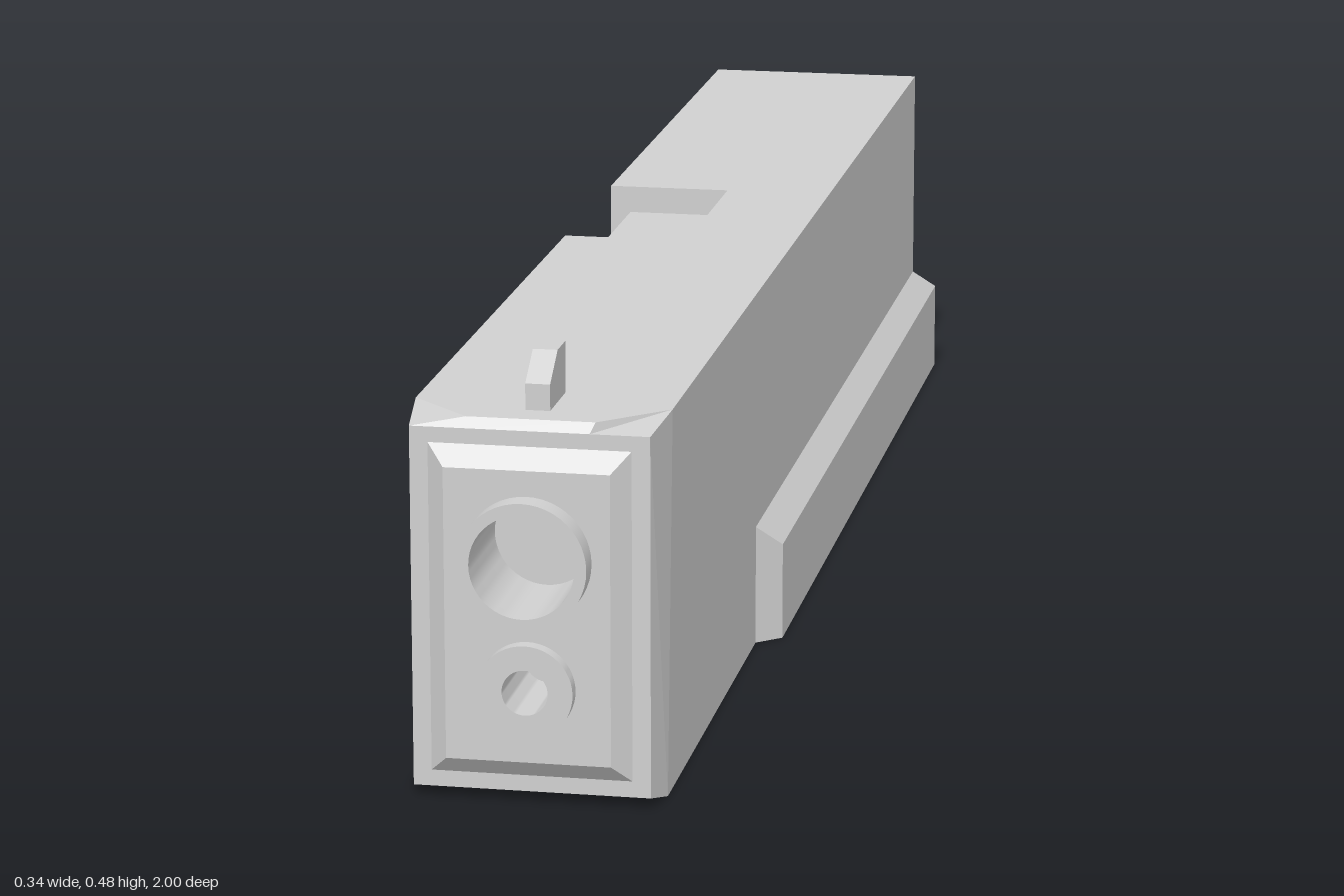
import * as THREE from 'three';
import { toCreasedNormals } from 'three/addons/utils/BufferGeometryUtils.js';
import { ConvexGeometry } from 'three/addons/geometries/ConvexGeometry.js';

const grey = new THREE.MeshStandardMaterial({ color: 0xd0d0d0 });
grey.name = 'light grey';

const W = 0.14, H = 0.423; // half width and height of the upper body

function createMesh(name, geometry) {
  const mesh = new THREE.Mesh(geometry, grey);
  mesh.name = name;
  return mesh;
}

// Flat-shaded geometry from convex polygons, corners counter-clockwise from outside
function facesGeometry(faces) {
  const pos = [];
  for (const f of faces)
    for (let i = 1; i < f.length - 1; i++) pos.push(...f[0], ...f[i], ...f[i + 1]);
  const g = new THREE.BufferGeometry();
  g.setAttribute('position', new THREE.Float32BufferAttribute(pos, 3));
  g.computeVertexNormals();
  return g;
}

const polygon = (pts) => new THREE.Shape(pts.map(([x, y]) => new THREE.Vector2(x, y)));

// Section in x/y carried from z0 to z1
function section(pts, z0, z1) {
  const g = new THREE.ExtrudeGeometry(polygon(pts), { depth: z1 - z0, bevelEnabled: false });
  return g.translate(0, 0, z0);
}

const rect = (w, y0, y1) => [[-w, y0], [w, y0], [w, y1], [-w, y1]];

// Hollow round tube pointing forward
function hollowTube(outer, inner, y, zBack, zFront) {
  const pts = [[outer, zBack], [outer, zFront], [inner, zFront], [inner, zBack], [0, zBack]];
  const g = new THREE.LatheGeometry(pts.map(([r, z]) => new THREE.Vector2(r, z)), 48);
  g.rotateX(Math.PI / 2).translate(0, y, 0);
  return toCreasedNormals(g, 0.6);
}

function noseGeometry() {
  const m = ([x, y, z]) => [-x, y, z];
  const mirror = (f) => f.map(m).reverse();
  const back = 0.86;
  const T = [W, H, 0.88], M = [0.07, H, 0.947], F = [0.13, 0.412, 0.955], N = [0.065, 0.412, 0.955];
  const B = [W, 0, 0.91], G = [0.13, 0.012, 0.955];
  const KT = [W, H, back], KB = [W, 0, back];
  const sides = [[T, B, KB, KT], [F, G, B, T], [T, M, N, F]];
  const faces = [...sides, ...sides.map(mirror),
    [m(KT), m(T), m(M), M, T, KT],
    [KB, B, m(B), m(KB)],
    [m(B), B, G, m(G)],
    [m(N), N, M, m(M)]];
  // Bevelled border of the raised front panel
  const outer = rect(0.11, 0.03, 0.395).map((p) => [...p, 0.955]);
  const inner = rect(0.09, 0.05, 0.373).map((p) => [...p, 0.972]);
  for (let i = 0; i < 4; i++) {
    const j = (i + 1) % 4;
    faces.push([outer[i], outer[j], inner[j], inner[i]]);
  }
  return facesGeometry(faces);
}

export function createModel() {
  const model = new THREE.Group();
  model.name = 'model';

  // Upper body, with a cut-out on its right side
  const full = rect(W, 0, H);
  const notched = [[-W, 0], [W, 0], [W, H], [0.01, H], [0, 0.39],
    [-0.115, 0.39], [-0.115, 0.285], [-W, 0.285]];
  model.add(createMesh('bodyRear', section(full, -0.97, -0.193)));
  model.add(createMesh('bodyCutout', section(notched, -0.193, 0.093)));
  model.add(createMesh('bodyFront', section(full, 0.093, 0.86)));

  // Chamfered nose and its front faces
  model.add(createMesh('nose', noseGeometry()));
  const border = polygon(rect(0.13, 0.012, 0.412));
  border.holes.push(polygon(rect(0.11, 0.03, 0.395)));
  model.add(createMesh('noseBorder', new THREE.ShapeGeometry(border).translate(0, 0, 0.955)));

  const panel = polygon(rect(0.09, 0.05, 0.373));
  for (const [y, r] of [[0.275, 0.063], [0.133, 0.04]])
    panel.holes.push(new THREE.Path().absarc(0, y, r, 0, Math.PI * 2, true));
  model.add(createMesh('nosePanel', new THREE.ShapeGeometry(panel, 24).translate(0, 0, 0.972)));

  // Round tubes in the front panel
  model.add(createMesh('upperTube', hollowTube(0.07, 0.057, 0.275, 0.87, 1)));
  model.add(createMesh('lowerTube', hollowTube(0.052, 0.025, 0.133, 0.87, 0.988)));

  // Small wedge on top, profile drawn in z/y
  const wedge = polygon([[0.83, 0.41], [0.91, 0.41], [0.91, 0.452], [0.87, 0.48], [0.83, 0.48]]);
  const wedgeGeo = new THREE.ExtrudeGeometry(wedge, { depth: 0.027, bevelEnabled: false });
  wedgeGeo.translate(0, 0, -0.0135).rotateY(-Math.PI / 2);
  model.add(createMesh('topWedge', wedgeGeo));

  // Wider base with chamfered upper edges
  const corners = [];
  for (const s of [-1, 1]) {
    for (const [x, y, z] of [[0.168, 0, -1], [0.168, 0, 0.325], [W, 0, 0.35],
      [0.168, 0.115, -1], [0.168, 0.115, 0.325], [W, 0.142, -0.97], [W, 0.142, 0.35]])
      corners.push(new THREE.Vector3(s * x, y, z));
  }
  model.add(createMesh('base', new ConvexGeometry(corners)));

  return model;
}
